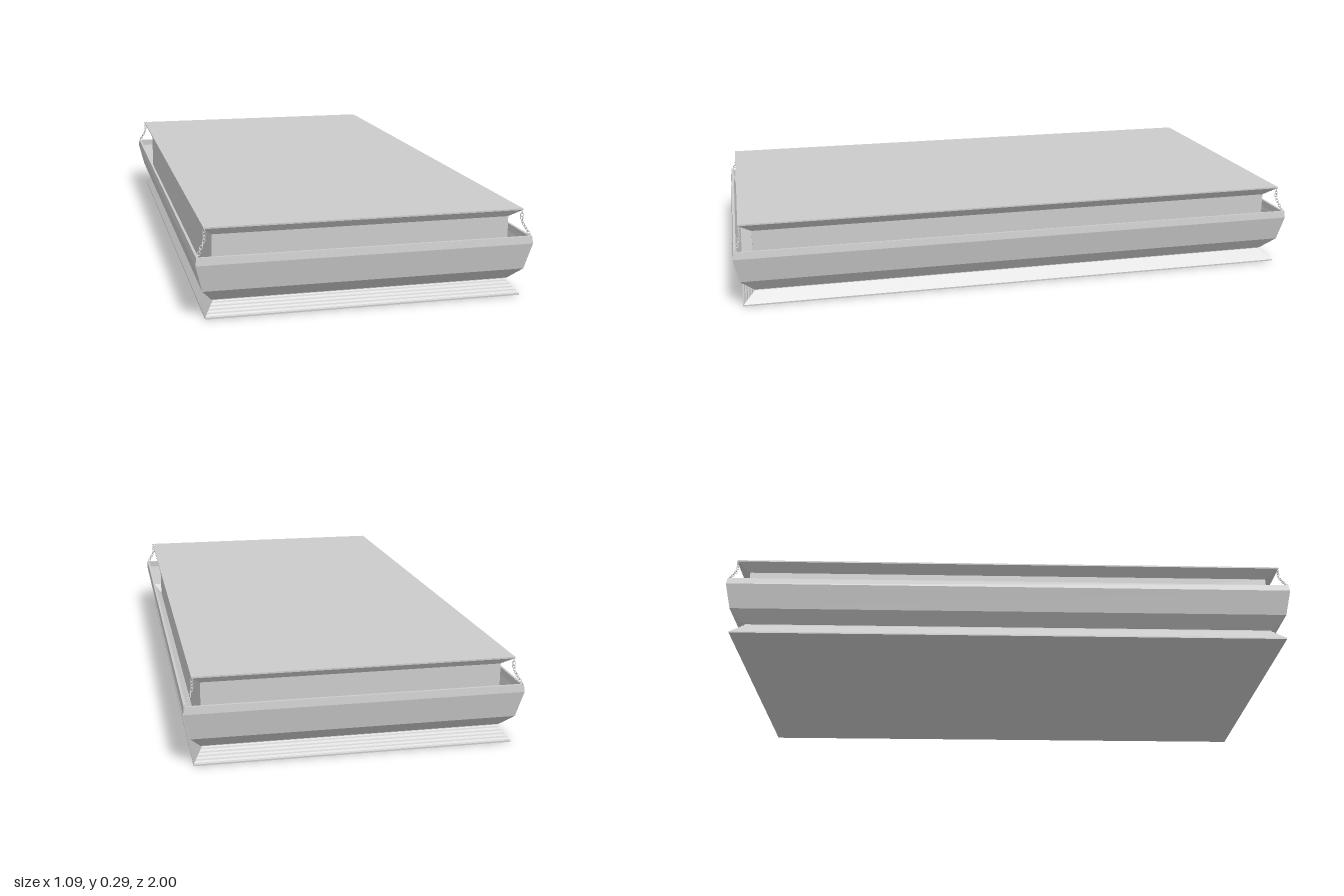
import * as THREE from 'three';

const material = new THREE.MeshStandardMaterial({ color: 0xcccccc, flatShading: true });

// Skin of rectangular rings [halfX, y, halfZ], listed from bottom to top on outer faces.
function loft(name, rings, capBottom, capTop) {
  const pos = [];
  const corners = ([x, y, z]) => [[x, y, z], [x, y, -z], [-x, y, -z], [-x, y, z]];
  const quad = (a, b, c, d) => pos.push(...a, ...b, ...c, ...a, ...c, ...d);
  for (let i = 0; i < rings.length - 1; i++) {
    const lo = corners(rings[i]), hi = corners(rings[i + 1]);
    for (let k = 0; k < 4; k++) {
      const n = (k + 1) % 4;
      quad(lo[k], lo[n], hi[n], hi[k]);
    }
  }
  if (capBottom) quad(...corners(rings[0]).reverse());
  if (capTop) quad(...corners(rings[rings.length - 1]));
  const geo = new THREE.BufferGeometry();
  geo.setAttribute('position', new THREE.Float32BufferAttribute(pos, 3));
  geo.computeVertexNormals();
  const mesh = new THREE.Mesh(geo, material);
  mesh.name = name;
  return mesh;
}

// Flared plate rings: plain slope on the long sides, fine ridges on the short ends.
function flareRings(yNarrow, yWide, yLip) {
  const rings = [], steps = 5;
  for (let i = 0; i < steps; i++) {
    const t = i / steps, u = (i + 0.65) / steps;
    rings.push([0.482 + 0.032 * t, yNarrow + (yWide - yNarrow) * t, 0.932 + 0.045 * t]);
    rings.push([0.482 + 0.032 * u, yNarrow + (yWide - yNarrow) * u, 0.932 + 0.045 * (u - 0.3 / steps)]);
  }
  rings.push([0.514, yWide, 0.977], [0.514, yLip, 0.977]);
  return rings;
}

// Chain of alternating links hanging from the top plate to the tray rim at one corner.
function chain(sx, sz) {
  const group = new THREE.Group();
  group.name = 'cornerChain';
  const curve = new THREE.CatmullRomCurve3([
    new THREE.Vector3(0.512 * sx, 0.284, 0.974 * sz),
    new THREE.Vector3(0.513 * sx, 0.25, 0.974 * sz),
    new THREE.Vector3(0.525 * sx, 0.224, 0.982 * sz),
    new THREE.Vector3(0.538 * sx, 0.2, 0.993 * sz),
  ]);
  const linkGeo = new THREE.TorusGeometry(0.0045, 0.0012, 5, 10);
  linkGeo.scale(1, 1.5, 1);
  const count = 9, up = new THREE.Vector3(0, 1, 0);
  for (let i = 0; i < count; i++) {
    const t = (i + 0.5) / count;
    const link = new THREE.Mesh(linkGeo, material);
    link.name = 'chainLink';
    link.position.copy(curve.getPointAt(t));
    link.quaternion.setFromUnitVectors(up, curve.getTangentAt(t));
    link.rotateY(i % 2 ? Math.PI / 2 : 0);
    group.add(link);
  }
  return group;
}

export function createModel() {
  const model = new THREE.Group();
  model.name = 'chainedSlab';

  // Central block
  const core = new THREE.Mesh(new THREE.BoxGeometry(0.968, 0.22, 1.866), material);
  core.name = 'core';
  core.position.y = 0.148;
  model.add(core);

  // Flared base and top plates
  model.add(loft('basePlate', flareRings(0.047, 0.005, 0).reverse(), true, true));
  model.add(loft('topPlate', flareRings(0.254, 0.285, 0.29), true, true));

  // Open tray around the block: outer wall, rim, then inner wall back down
  model.add(loft('tray', [
    [0.47, 0.048, 0.92], [0.488, 0.048, 0.935], [0.522, 0.091, 0.982],
    [0.543, 0.178, 1.0], [0.54, 0.202, 0.997],
    [0.532, 0.202, 0.988], [0.533, 0.178, 0.989],
    [0.514, 0.095, 0.972], [0.48, 0.056, 0.93],
  ], false, false));

  for (const sx of [1, -1]) for (const sz of [1, -1]) model.add(chain(sx, sz));
  return model;
}
